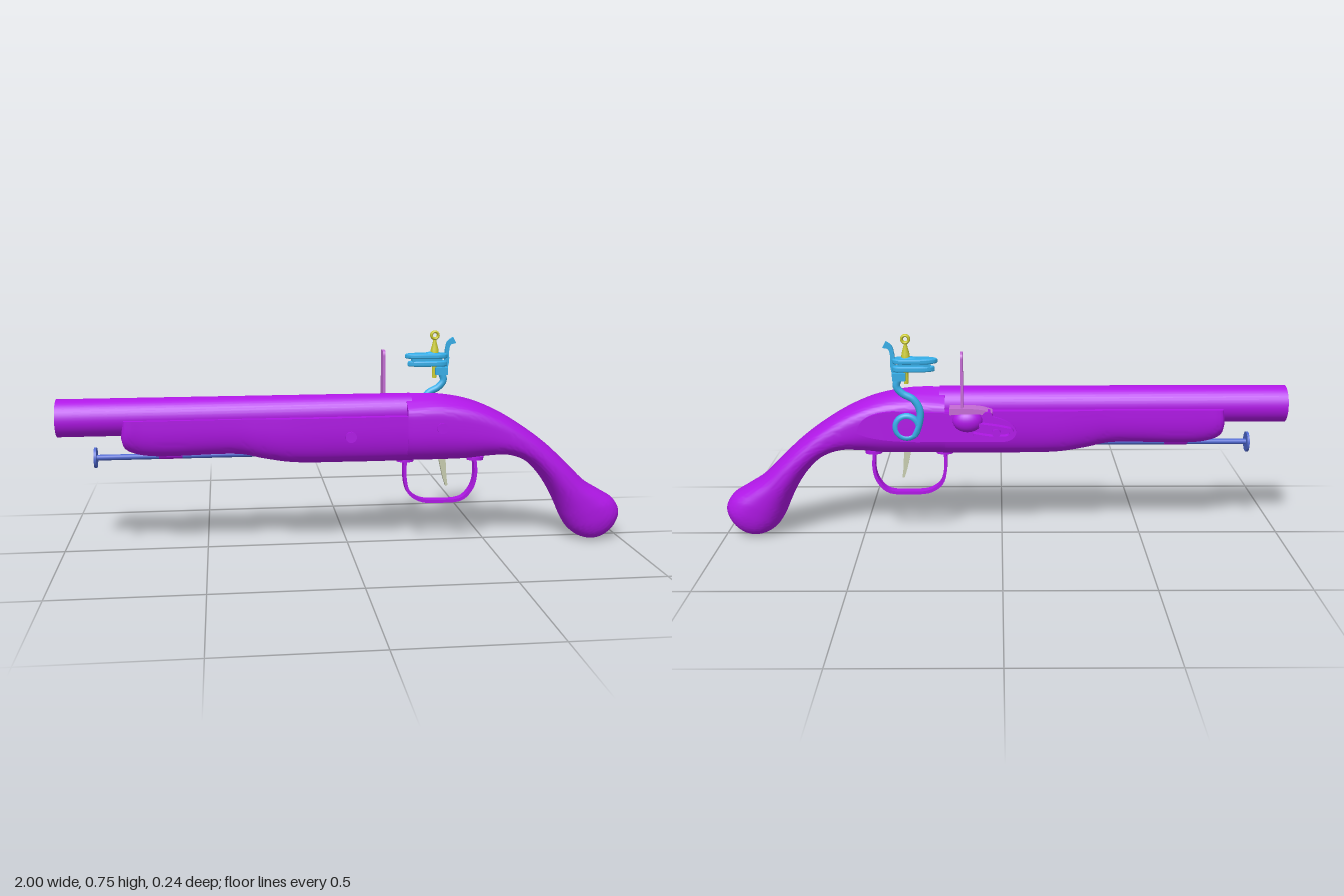
import * as THREE from 'three';
import { toCreasedNormals } from 'three/addons/utils/BufferGeometryUtils.js';

const MID = 0.02;      // z of the barrel and stock centre plane
const LOCK = -0.09;    // z of the cock
const mat = (color) => new THREE.MeshStandardMaterial({ color, roughness: 0.6, side: THREE.DoubleSide });
const purple = mat(0xb017e6), pink = mat(0xc46cd4), blue = mat(0x35aee8);
const yellow = mat(0xcccc33), navy = mat(0x4f68d0), bone = mat(0xc8cdb0);

export function createModel() {
  const model = new THREE.Group();
  const add = (name, geo, material, x = 0, y = 0, z = 0, parent = model) => {
    const mesh = new THREE.Mesh(geo, material);
    mesh.name = name;
    mesh.position.set(x, y, z);
    parent.add(mesh);
    return mesh;
  };
  const curve = (pts) => new THREE.CatmullRomCurve3(pts.map(([x, y, z = 0]) => new THREE.Vector3(x, y, z)));

  // Skin between a top line and a bottom line; ring(t) gives [across, along] pairs in -1..1
  const loft = (top, bottom, widths, steps, ring) => {
    const T = curve(top.map((p, i) => [...p, widths[i]])), B = curve(bottom);
    const pos = [], idx = [];
    let n = 0;
    for (let i = 0; i <= steps; i++) {
      const t = i / steps, a = T.getPoint(t), b = B.getPoint(t), pts = ring(t);
      n = pts.length;
      for (const [u, v] of pts) {
        const k = (v + 1) / 2;
        pos.push(b.x + (a.x - b.x) * k, b.y + (a.y - b.y) * k, MID + u * a.z);
      }
    }
    for (let i = 0; i < steps; i++) for (let j = 0; j < n; j++) {
      const a = i * n + j, b = i * n + (j + 1) % n;
      idx.push(a, a + n, b, b, a + n, b + n);
    }
    for (const [row, flip] of [[0, false], [steps, true]]) {
      const c = pos.length / 3, sum = [0, 0, 0];
      for (let j = 0; j < n; j++) for (let k = 0; k < 3; k++) sum[k] += pos[(row * n + j) * 3 + k] / n;
      pos.push(...sum);
      for (let j = 0; j < n; j++) {
        const a = row * n + j, b = row * n + (j + 1) % n;
        idx.push(c, flip ? b : a, flip ? a : b);
      }
    }
    const geo = new THREE.BufferGeometry();
    geo.setAttribute('position', new THREE.Float32BufferAttribute(pos, 3));
    geo.setIndex(idx);
    return toCreasedNormals(geo, 0.6);
  };
  const power = (v, e) => Math.sign(v) * Math.abs(v) ** (2 / e);

  // Flat strip of varying width following a path in the xy plane
  const ribbon = (pts, width, depth) => {
    const c = curve(pts), left = [], right = [];
    for (let i = 0; i <= 36; i++) {
      const t = i / 36, p = c.getPoint(t), d = c.getTangent(t), w = width(t) / 2;
      left.push(new THREE.Vector2(p.x - d.y * w, p.y + d.x * w));
      right.unshift(new THREE.Vector2(p.x + d.y * w, p.y - d.x * w));
    }
    const geo = new THREE.ExtrudeGeometry(new THREE.Shape([...left, ...right]), { depth, bevelEnabled: false });
    return toCreasedNormals(geo.translate(0, 0, -depth / 2), 0.6);
  };
  const disc = (r, h, axis) => {
    const geo = new THREE.CylinderGeometry(r, r, h, 28);
    return axis === 'x' ? geo.rotateZ(Math.PI / 2) : axis === 'z' ? geo.rotateX(Math.PI / 2) : geo;
  };

  // Hollow barrel
  const bore = [[0, 0.6], [0.05, 0.6], [0.05, 0], [0.065, 0], [0.065, 1.22], [0, 1.22]];
  const barrel = new THREE.LatheGeometry(bore.map(([r, y]) => new THREE.Vector2(r, y)), 40);
  add('barrel', toCreasedNormals(barrel.rotateZ(-Math.PI / 2), 0.6), purple, -1, 0.483, MID);

  // Fore-stock with a flat top
  add('foreStock', loft(
    [[-0.772, 0.48], [-0.768, 0.48], [-0.70, 0.48], [-0.38, 0.48], [-0.3, 0.48], [-0.2, 0.48], [0, 0.48], [0.21, 0.48]],
    [[-0.785, 0.41], [-0.772, 0.375], [-0.71, 0.35], [-0.38, 0.347], [-0.3, 0.33], [-0.2, 0.314], [0, 0.31], [0.21, 0.31]],
    [0.068, 0.08, 0.082, 0.083, 0.088, 0.094, 0.095, 0.095], 56,
    () => Array.from({ length: 33 }, (_, j) => {
      const a = Math.PI * (1 + j / 32);
      return [power(Math.cos(a), 2.9), 1 + 2 * power(Math.sin(a), 2.9)];
    })), purple);

  // Grip: ridged behind the barrel, fading into a rounded butt
  add('grip', loft(
    [[0.2, 0.547], [0.32, 0.545], [0.43, 0.524], [0.53, 0.482], [0.62, 0.428], [0.71, 0.362], [0.79, 0.288],
      [0.865, 0.216], [0.93, 0.176], [0.975, 0.147], [0.997, 0.105], [0.985, 0.06], [0.95, 0.022], [0.912, 0.004]],
    [[0.2, 0.31], [0.32, 0.31], [0.42, 0.312], [0.5, 0.32], [0.57, 0.322], [0.635, 0.3], [0.69, 0.25],
      [0.735, 0.185], [0.765, 0.125], [0.785, 0.08], [0.81, 0.04], [0.84, 0.015], [0.875, 0.003], [0.905, 0.002]],
    [0.096, 0.096, 0.096, 0.096, 0.096, 0.096, 0.096, 0.096, 0.096, 0.095, 0.09, 0.077, 0.052, 0.004], 78,
    (t) => {
      const k = Math.max(0, 1 - t * 2.6), bell = 0.34 * k, e = 2.3 + 4 * k;
      return Array.from({ length: 56 }, (_, j) => {
        const a = (j / 56) * Math.PI * 2, s = Math.sin(a);
        const u = power(Math.cos(a), s > 0 ? e : 2.4);
        const v = s > 0 ? (1 - bell) * power(s, e) + bell * (1 + Math.cos(Math.PI * u)) / 2 : power(s, 2.4);
        return [u, v];
      });
    }), purple);

  // Ramrod, its end disc and its pipe
  add('ramrod', disc(0.01, 0.66, 'x'), navy, -0.55, 0.342, MID);
  add('ramrodTip', disc(0.036, 0.008, 'x'), navy, -0.876, 0.342, MID);
  add('ramrodPipe', disc(0.016, 0.08, 'x'), purple, -0.62, 0.348, MID);

  // Trigger guard with its feet, and trigger
  add('triggerGuard', ribbon([[0.205, 0.32], [0.203, 0.25], [0.218, 0.19], [0.26, 0.16], [0.33, 0.154],
    [0.41, 0.161], [0.447, 0.2], [0.46, 0.25], [0.455, 0.32]], () => 0.011, 0.034), purple, 0, 0, MID);
  for (const x of [0.205, 0.46]) {
    const foot = add('guardFoot', disc(0.03, 0.012), purple, x, 0.308, MID);
    foot.scale.z = 0.8;
  }
  add('trigger', ribbon([[0.335, 0.33], [0.343, 0.28], [0.348, 0.245], [0.356, 0.21]],
    (t) => 0.026 - 0.018 * t, 0.016), bone, 0, 0, MID);

  // Screw heads on the plain side
  for (const [x, y] of [[0, 0.413], [0.32, 0.437]]) add('sideScrew', disc(0.019, 0.02, 'z'), purple, x, y, 0.112);

  // Lock plate
  const plate = new THREE.Shape();
  plate.moveTo(-0.05, 0.41);
  plate.quadraticCurveTo(-0.045, 0.375, 0, 0.373);
  plate.lineTo(0.3, 0.373);
  plate.quadraticCurveTo(0.45, 0.375, 0.505, 0.405);
  plate.quadraticCurveTo(0.5, 0.475, 0.38, 0.482);
  plate.lineTo(0.1, 0.475);
  plate.quadraticCurveTo(-0.04, 0.46, -0.05, 0.41);
  add('lockPlate', new THREE.ExtrudeGeometry(plate, { depth: 0.035, bevelEnabled: false, curveSegments: 12 }), purple, 0, 0, -0.085);

  // Pan, spring and screws in front of the cock
  const pan = add('pan', new THREE.SphereGeometry(0.04, 24, 16), purple, 0.12, 0.45, -0.085);
  pan.scale.set(1.3, 1, 0.8);
  add('steelSpring', ribbon([[0.1, 0.405], [0.03, 0.395], [-0.025, 0.4], [-0.032, 0.418], [0, 0.428], [0.08, 0.44]],
    () => 0.012, 0.03), purple, 0, 0, -0.096);
  add('springScrew', disc(0.014, 0.036, 'z'), purple, 0.02, 0.413, -0.098);
  add('steelPivot', disc(0.018, 0.045, 'z'), purple, 0.05, 0.472, -0.097);

  // Steel: upright plate with a rounded top, and its foot over the pan
  const steel = new THREE.Shape();
  steel.moveTo(-0.027, 0);
  steel.lineTo(0.027, 0);
  steel.lineTo(0.027, 0.195);
  steel.quadraticCurveTo(0.025, 0.212, 0.01, 0.213);
  steel.lineTo(-0.01, 0.213);
  steel.quadraticCurveTo(-0.025, 0.212, -0.027, 0.195);
  const steelGeo = new THREE.ExtrudeGeometry(steel, { depth: 0.009, bevelEnabled: false }).rotateY(Math.PI / 2);
  add('steelPlate', steelGeo, pink, 0.134, 0.478, -0.077);
  add('steelFoot', ribbon([[0.182, 0.488], [0.12, 0.49], [0.07, 0.487], [0.035, 0.478]],
    (t) => 0.022 - 0.008 * t, 0.054), pink, 0, 0, -0.083);

  // Cock: ring, swan neck, jaws and rear arm
  const cock = new THREE.Group();
  cock.name = 'cock';
  cock.position.z = LOCK;
  model.add(cock);
  add('cockRing', new THREE.TorusGeometry(0.038, 0.012, 12, 36), blue, 0.33, 0.43, 0, cock);
  add('cockScrew', disc(0.034, 0.02, 'z'), purple, 0.33, 0.43, 0, cock);
  add('cockNeck', new THREE.TubeGeometry(curve([[0.305, 0.4], [0.288, 0.44], [0.284, 0.49], [0.305, 0.528],
    [0.343, 0.55], [0.362, 0.575], [0.352, 0.61]]), 40, 0.013, 12), blue, 0, 0, 0, cock);
  add('jawBase', new THREE.BoxGeometry(0.045, 0.026, 0.044), blue, 0.352, 0.61, 0, cock);
  const jaw = (name, y, half, x0, h) => {
    const s = new THREE.Shape();
    s.moveTo(x0, 0);
    s.bezierCurveTo(x0 + 0.01, half, 0.29, half, 0.33, half);
    s.quadraticCurveTo(0.375, half, 0.375, 0);
    s.quadraticCurveTo(0.375, -half, 0.33, -half);
    s.bezierCurveTo(0.29, -half, x0 + 0.01, -half, x0, 0);
    const geo = new THREE.ExtrudeGeometry(s, { depth: h, bevelThickness: 0.005, bevelSize: 0.006, bevelOffset: -0.006, bevelSegments: 3, curveSegments: 14 });
    add(name, geo.rotateX(Math.PI / 2), blue, 0, y, 0, cock);
  };
  jaw('lowerJaw', 0.642, 0.023, 0.23, 0.01);
  jaw('upperJaw', 0.669, 0.031, 0.22, 0.008);
  const dome = add('jawDome', new THREE.SphereGeometry(0.03, 24, 8, 0, Math.PI * 2, 0, Math.PI / 2), blue, 0.32, 0.668, 0, cock);
  dome.scale.set(1.3, 0.4, 0.7);
  add('jawLeather', new THREE.BoxGeometry(0.11, 0.018, 0.03), blue, 0.3, 0.649, 0, cock);
  add('rearArm', ribbon([[0.358, 0.6], [0.372, 0.645], [0.374, 0.69], [0.382, 0.712], [0.4, 0.721]],
    (t) => 0.024 - 0.01 * Math.sin(t * Math.PI), 0.014), blue, 0, 0, 0, cock);

  // Jaw screw with a ringed head
  const screw = [[0, 0.585], [0.008, 0.585], [0.008, 0.672], [0.015, 0.674], [0.014, 0.688], [0.006, 0.718], [0.006, 0.73], [0, 0.73]];
  add('jawScrew', toCreasedNormals(new THREE.LatheGeometry(screw.map(([r, y]) => new THREE.Vector2(r, y)), 20), 0.6), yellow, 0.328, 0, 0, cock);
  const ring = add('screwRing', new THREE.TorusGeometry(0.0125, 0.005, 10, 24), yellow, 0.328, 0.739, 0, cock);
  ring.scale.z = 2.4;
  return model;
}
